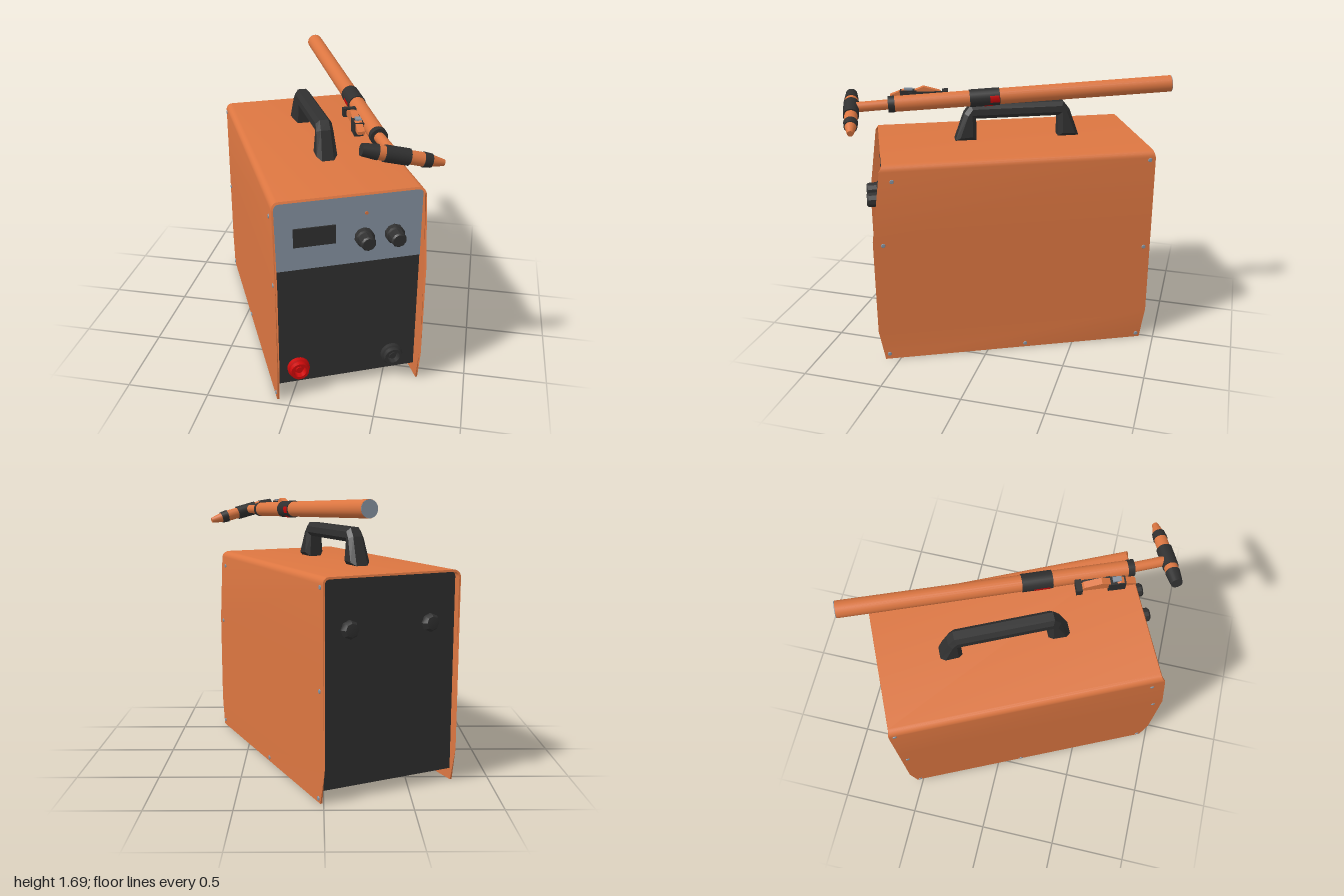
import * as THREE from 'three';
import { toCreasedNormals } from 'three/addons/utils/BufferGeometryUtils.js';

const flat = (name, color) => {
  const m = new THREE.MeshStandardMaterial({ color });
  m.name = name;
  return m;
};
const V = (x, y, z) => new THREE.Vector3(x, y, z);

export function createModel() {
  const orange = flat('orange', 0xdc7641);
  const black = flat('black', 0x303030);
  const grey = flat('grey', 0x8592a0);
  const red = flat('red', 0xcc0a0a);

  const add = (parent, name, geo, mat, x = 0, y = 0, z = 0) => {
    const m = new THREE.Mesh(geo, mat);
    m.name = name;
    m.position.set(x, y, z);
    parent.add(m);
    return m;
  };
  const box = (w, h, d) => new THREE.BoxGeometry(w, h, d);
  // Turned part whose axis points along z
  const turned = (pts, sides = 24) => toCreasedNormals(
    new THREE.LatheGeometry(pts.map(p => new THREE.Vector2(...p)), sides).rotateX(Math.PI / 2), 0.6);

  const root = new THREE.Group();
  root.name = 'weldingMachine';
  const machine = new THREE.Group();
  machine.name = 'machine';
  machine.position.set(-0.03, 0, 0.025);
  machine.rotation.y = THREE.MathUtils.degToRad(25);
  root.add(machine);

  // Upright outline with rounded top corners, from the lower left to the lower right
  const arch = (w, top, bottom, r) => {
    const pts = [[-w, bottom]];
    if (bottom < 0.2) pts.push([-w, 0.2], [-w, 0.8]);
    const n = 5;
    for (let i = 0; i <= n; i++) {
      const a = Math.PI - i / n * Math.PI / 2;
      pts.push([-w + r + r * Math.cos(a), top - r + r * Math.sin(a)]);
    }
    return [...pts, ...pts.slice().reverse().map(([x, y]) => [-x, y])];
  };
  const shapeOf = pts => new THREE.Shape(pts.map(p => new THREE.Vector2(...p)));
  const extrude = (pts, depth) => new THREE.ExtrudeGeometry(shapeOf(pts), { depth, bevelEnabled: false });

  // Folded sheet cover: both ends slope according to height
  const ramp = (y, table) => {
    for (let i = 1; i < table.length; i++) {
      const [y0, z0] = table[i - 1], [y1, z1] = table[i];
      if (y <= y1) return z0 + (z1 - z0) * (y - y0) / (y1 - y0);
    }
    return table[table.length - 1][1];
  };
  const frontEdge = [[0, 0.825], [0.2, 0.86], [0.8, 0.86], [1.24, 0.80], [1.28, 0.778]];
  const backEdge = [[0, -0.828], [0.2, -0.86], [1.24, -0.86], [1.28, -0.85]];
  const cover = extrude([...arch(0.44, 1.28, 0, 0.04), ...arch(0.428, 1.268, 0, 0.03).reverse()], 1);
  const p = cover.attributes.position;
  for (let i = 0; i < p.count; i++) p.setZ(i, ramp(p.getY(i), p.getZ(i) > 0.5 ? frontEdge : backEdge));
  add(machine, 'cover', toCreasedNormals(cover, 0.5), orange);

  // Inner body and control panel
  add(machine, 'body', extrude(arch(0.428, 1.267, 0.07, 0.03), 1.59), black, 0, 0, -0.82);
  add(machine, 'controlPanel', extrude(arch(0.428, 1.267, 0.845, 0.03), 0.006), grey, 0, 0, 0.77);
  add(machine, 'display', box(0.243, 0.115, 0.009), black, -0.197, 1.048, 0.78);
  add(machine, 'indicator', turned([[0.01, 0], [0.01, 0.005], [0, 0.005]], 10), orange, 0.1, 1.155, 0.776);

  // Control knobs
  for (const x of [0.088, 0.265]) {
    add(machine, 'knob', turned([[0.056, 0], [0.056, 0.035], [0.046, 0.042], [0.044, 0.095], [0.036, 0.105], [0, 0.105]], 10),
      black, x, 1.01, 0.774);
  }

  // Cable sockets
  for (const [x, mat] of [[-0.298, red], [0.281, black]]) {
    const socket = new THREE.Group();
    socket.name = 'socket';
    socket.position.set(x, 0.175, 0.769);
    machine.add(socket);
    add(socket, 'socketRing', turned([[0.066, 0], [0.066, 0.025], [0.056, 0.03], [0.054, 0.055], [0.038, 0.055], [0.036, 0.012], [0, 0.012]]), mat);
    add(socket, 'socketPin', turned([[0.02, 0], [0.02, 0.04], [0, 0.04]], 14), mat);
  }

  // Rear caps
  for (const x of [-0.26, 0.26]) {
    const cap = add(machine, 'rearCap', turned([[0.054, 0], [0.054, 0.02], [0.04, 0.04], [0, 0.046]], 8), black, x, 0.98, -0.819);
    cap.rotation.y = Math.PI;
  }

  // Screws on both sides
  const screws = [[0.73, 1.18], [0.8, 0.78], [0.8, 0.035], [-0.065, 0.025], [-0.805, 0.025], [-0.825, 1.225], [-0.82, 0.65]];
  for (const s of [-1, 1]) {
    for (const [z, y] of screws) {
      const screw = add(machine, 'screw', turned([[0.014, 0], [0.011, 0.006], [0, 0.008]], 10), grey, s * 0.439, y, z);
      screw.rotation.y = s * Math.PI / 2;
    }
  }

  // Carrying handle, narrowing upwards
  const outline = [[-0.395, 0], [-0.262, 0], [-0.262, 0.135], [0.262, 0.135], [0.262, 0], [0.395, 0],
    [0.335, 0.17], [0.295, 0.222], [-0.295, 0.222], [-0.335, 0.17]];
  const grip = new THREE.ExtrudeGeometry(shapeOf(outline), {
    depth: 0.07, bevelThickness: 0.027, bevelSize: 0.025, bevelOffset: -0.025, bevelSegments: 1 });
  grip.translate(0, 0, -0.035).rotateY(-Math.PI / 2);
  const g = grip.attributes.position;
  for (let i = 0; i < g.count; i++) g.setX(i, g.getX(i) * (1.05 - 1.3 * g.getY(i)));
  grip.computeVertexNormals();
  add(machine, 'carryHandle', grip, black, 0, 1.282, -0.083);

  // Torch: round sections placed along a line from a to b
  const torch = new THREE.Group();
  torch.name = 'torch';
  root.add(torch);
  const rod = (name, mat, a, b, t0, t1, r0, r1 = r0, arc = null) => {
    const from = a.clone().lerp(b, t0), to = a.clone().lerp(b, t1);
    const geo = new THREE.CylinderGeometry(r1, r0, from.distanceTo(to), arc ? 8 : 24, 1, !!arc, ...(arc || [0, Math.PI * 2]));
    const m = add(torch, name, geo, mat, ...from.clone().lerp(to, 0.5).toArray());
    m.quaternion.setFromUnitVectors(V(0, 1, 0), to.sub(from).normalize());
  };
  const tail = V(-0.235, 1.643, -0.975), nose = V(0.43, 1.572, 0.59);
  rod('torchGrip', orange, tail, nose, 0, 1, 0.05, 0.047);
  rod('torchEndDisc', grey, tail, nose, -0.002, 0.002, 0.049);
  rod('gripBand', black, tail, nose, 0.62, 0.725, 0.053);
  rod('gripCollar', black, tail, nose, 0.985, 1.008, 0.049);
  rod('bandMark', red, tail, nose, 0.622, 0.655, 0.0545, 0.0545, [1.5, 0.8]);
  rod('bandMark', red, tail, nose, 0.645, 0.675, 0.0545, 0.0545, [0.6, 0.5]);
  rod('bandMark', red, tail, nose, 0.66, 0.715, 0.0545, 0.0545, [5.0, 0.6]);
  rod('torchNeck', orange, nose, V(0.535, 1.563, 0.8), 0, 1, 0.03);

  // Torch head: [name, colour, start, end, start radius, end radius]
  const capEnd = V(0.375, 1.603, 0.862), tip = V(0.79, 1.488, 0.683);
  const sections = [
    ['headCap', black, 0, 0.19, 0.034, 0.043],
    ['headCollar', orange, 0.18, 0.28, 0.04, 0.04],
    ['headBody', black, 0.27, 0.57, 0.046, 0.046],
    ['headSleeve', orange, 0.56, 0.75, 0.038, 0.038],
    ['nozzleRing', black, 0.74, 0.84, 0.042, 0.038],
    ['nozzle', orange, 0.83, 1, 0.034, 0.018],
  ];
  for (const [name, mat, t0, t1, r0, r1] of sections) rod(name, mat, capEnd, tip, t0, t1, r0, r1);

  // Torch switch beside the grip
  const sw = new THREE.Group();
  sw.name = 'torchSwitch';
  sw.position.set(0.278, 1.595, 0.46);
  sw.rotation.y = 0.36;
  torch.add(sw);
  const lever = extrude([[-0.14, -0.005], [0.18, -0.005], [0.18, 0.012], [0.09, 0.045], [0.05, 0.03], [-0.02, 0.058], [-0.12, 0.03]], 0.04);
  lever.translate(0, 0, -0.02).rotateY(-Math.PI / 2);
  add(sw, 'switchLever', lever, orange);
  add(sw, 'switchClip', box(0.075, 0.05, 0.035), black, 0, 0.008, -0.15);
  add(sw, 'switchBody', box(0.05, 0.075, 0.1), black, 0, 0, 0.07);
  add(sw, 'switchRail', box(0.012, 0.03, 0.2), black, 0.026, 0.015, -0.03);
  add(sw, 'switchButton', box(0.03, 0.02, 0.05), grey, 0.005, 0.04, 0.07);
  add(sw, 'switchMount', box(0.06, 0.03, 0.12), black, 0.04, -0.012, -0.02);

  return root;
}
